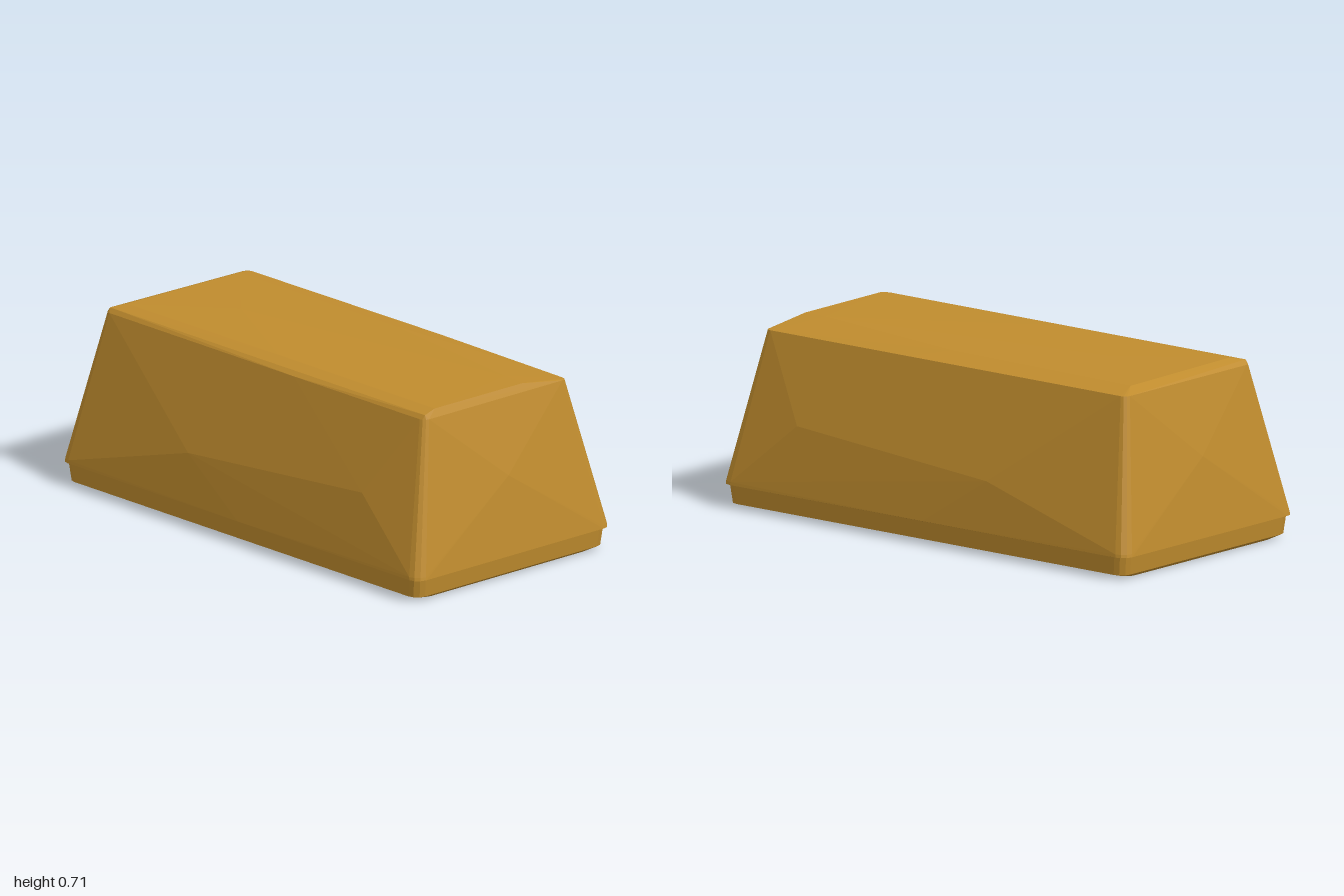
import * as THREE from 'three';
import { ConvexGeometry } from 'three/addons/geometries/ConvexGeometry.js';

const V = (x, y, z) => new THREE.Vector3(x, y, z);

// rounded rectangular outline at height y, half sizes hx and hz, corner radius r
function ring(y, hx, hz, r) {
  const points = [];
  for (const sx of [-1, 1]) for (const sz of [-1, 1]) {
    for (let i = 0; i <= 3; i++) {
      const a = (i / 3) * Math.PI / 2;
      points.push(V(sx * (hx - r + r * Math.cos(a)), y, sz * (hz - r + r * Math.sin(a))));
    }
  }
  return points;
}

export function createModel() {
  const group = new THREE.Group();
  group.name = 'goldBar';
  const gold = new THREE.MeshStandardMaterial({ color: 0xc08c2e });
  gold.name = 'gold';

  function addHull(name, points) {
    const mesh = new THREE.Mesh(new ConvexGeometry(points), gold);
    mesh.name = name;
    group.add(mesh);
  }

  // low plinth, inset under the body, with a bevelled underside
  addHull('base', [
    ...ring(0.004, 0.95, 0.43, 0.04),
    ...ring(0.02, 0.975, 0.487, 0.045),
    ...ring(0.1, 0.985, 0.494, 0.045),
  ]);

  // tapered body with hewn facets
  const body = [
    ...ring(0.093, 0.997, 0.502, 0.045),
    ...ring(0.105, 0.995, 0.501, 0.045),
    ...ring(0.683, 0.89, 0.368, 0.025),
  ];
  // ridges on the long sides
  for (const s of [-1, 1]) {
    body.push(
      V(0, 0.095, s * 0.507),
      V(-0.3, 0.29, s * 0.485),
      V(0.65, 0.36, s * 0.467),
      V(0.17, 0.685, s * 0.374),
      // ridge on each end
      V(s * 0.962, 0.4, 0),
    );
  }
  // top: nearly level, falling away toward the back
  body.push(
    V(-0.875, 0.7, 0.355), V(0.88, 0.7, 0.355),
    V(-0.84, 0.711, 0.3), V(0.875, 0.713, 0.3),
    V(0, 0.714, 0.3), V(-0.5, 0.714, 0.03),
    V(0.875, 0.712, -0.15), V(0.77, 0.714, -0.16),
    V(0.05, 0.708, -0.27), V(-0.84, 0.704, -0.28),
  );
  addHull('body', body);
  return group;
}
